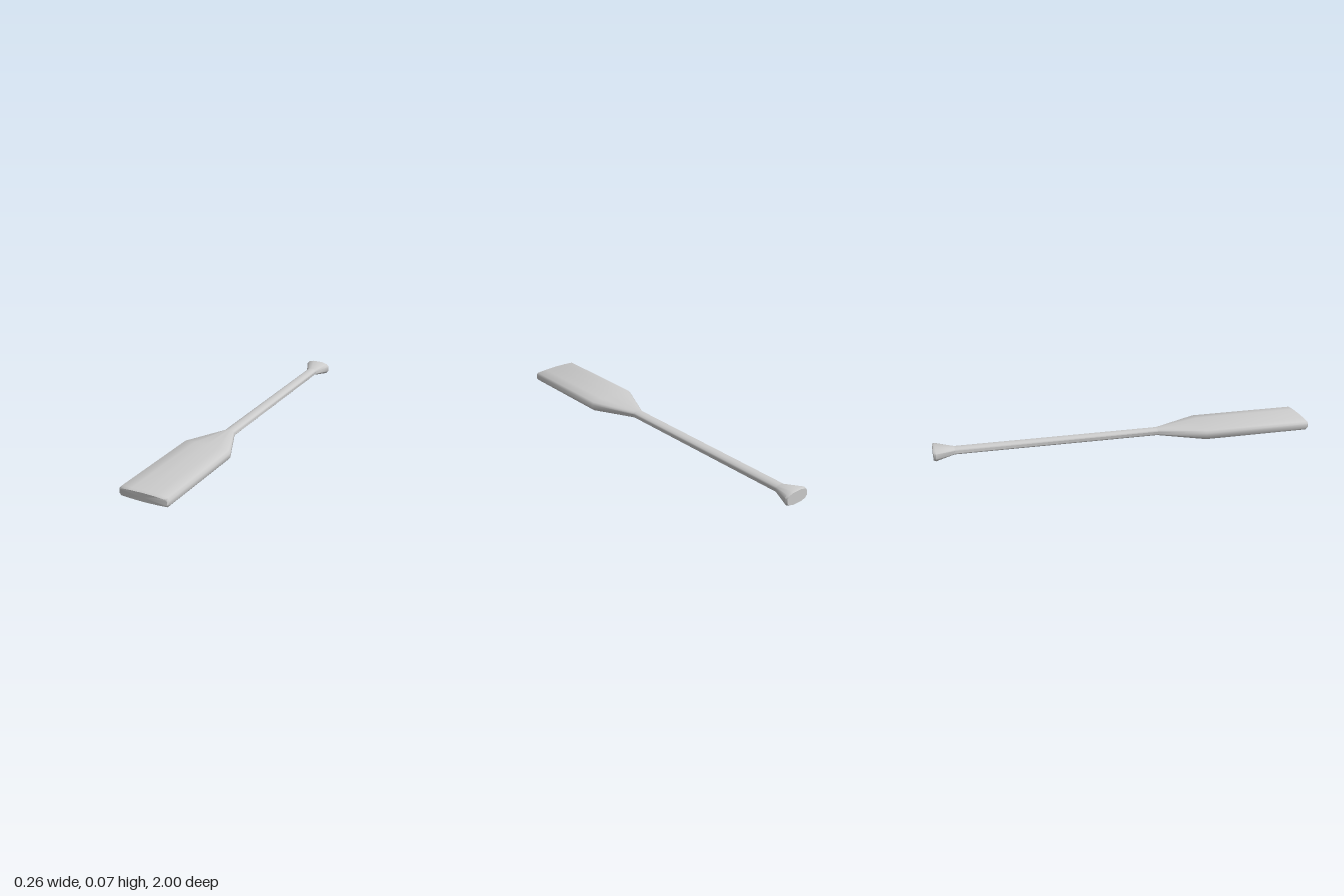
import * as THREE from 'three';
import { toCreasedNormals } from 'three/addons/utils/BufferGeometryUtils.js';

// Quarter outlines (x, y as fractions of half width and half height), side to top
const BLADE = [[1, 0.4], [0.92, 0.8], [0.5, 0.93], [0, 1]];
const SHAFT = [[1, 0.36], [0.8, 0.68], [0.45, 0.95], [0, 1]];
const GRIP = [[1, 0.38], [0.82, 0.76], [0.41, 0.99], [0, 1]];

// Mirror a quarter outline into a full ring, counter-clockwise from the front
function ring({ outline, w, h, z }) {
  const right = outline.map(([x, y]) => [x, y]);
  const left = outline.slice(0, -1).reverse().map(([x, y]) => [-x, y]);
  const top = [...right, ...left];
  const bottom = top.map(([x, y]) => [-x, -y]);
  return [...top, ...bottom].map(([x, y]) => [x * w, y * h, z]);
}

// Skin a run of sections from front to back, closing the requested ends
function loft(sections, capFront, capBack) {
  const rings = sections.map(ring);
  const n = rings[0].length;
  const positions = rings.flat(2);
  const index = [];
  for (let i = 0; i < rings.length - 1; i++) {
    for (let j = 0; j < n; j++) {
      const k = (j + 1) % n;
      const a = i * n + j, d = i * n + k;
      index.push(a, a + n, d + n, a, d + n, d);
    }
  }
  const cap = (r, flip) => {
    const centre = positions.length / 3;
    positions.push(0, 0, sections[r].z);
    for (let j = 0; j < n; j++) {
      const a = r * n + j, b = r * n + (j + 1) % n;
      index.push(centre, flip ? b : a, flip ? a : b);
    }
  };
  if (capFront) cap(0, false);
  if (capBack) cap(rings.length - 1, true);
  const geometry = new THREE.BufferGeometry();
  geometry.setAttribute('position', new THREE.Float32BufferAttribute(positions, 3));
  geometry.setIndex(index);
  return toCreasedNormals(geometry, 0.95);
}

export function createModel() {
  const paddle = new THREE.Group();
  paddle.name = 'paddle';
  const material = new THREE.MeshStandardMaterial({ color: 0xcccccc });
  const add = (name, geometry) => {
    const mesh = new THREE.Mesh(geometry, material);
    mesh.name = name;
    paddle.add(mesh);
  };

  const neck = { outline: SHAFT, w: 0.03, h: 0.019, z: 0.18 };
  const wrist = { outline: SHAFT, w: 0.03, h: 0.019, z: -0.89 };

  // Broad blade with a rounded tip, tapering into the neck
  add('blade', loft([
    { outline: BLADE, w: 0.124, h: 0.022, z: 1 },
    { outline: BLADE, w: 0.132, h: 0.029, z: 0.988 },
    { outline: BLADE, w: 0.132, h: 0.03, z: 0.42 },
    neck,
  ], true, false));

  // Slim oval shaft
  add('shaft', loft([neck, wrist], false, false));

  // Flared grip with a softened end
  add('grip', loft([
    wrist,
    { outline: GRIP, w: 0.07, h: 0.037, z: -0.988 },
    { outline: GRIP, w: 0.065, h: 0.032, z: -1 },
  ], false, true));

  // Slight roll about the length
  paddle.rotation.z = -0.02;
  paddle.position.y = 0.039;
  const model = new THREE.Group();
  model.add(paddle);
  return model;
}
